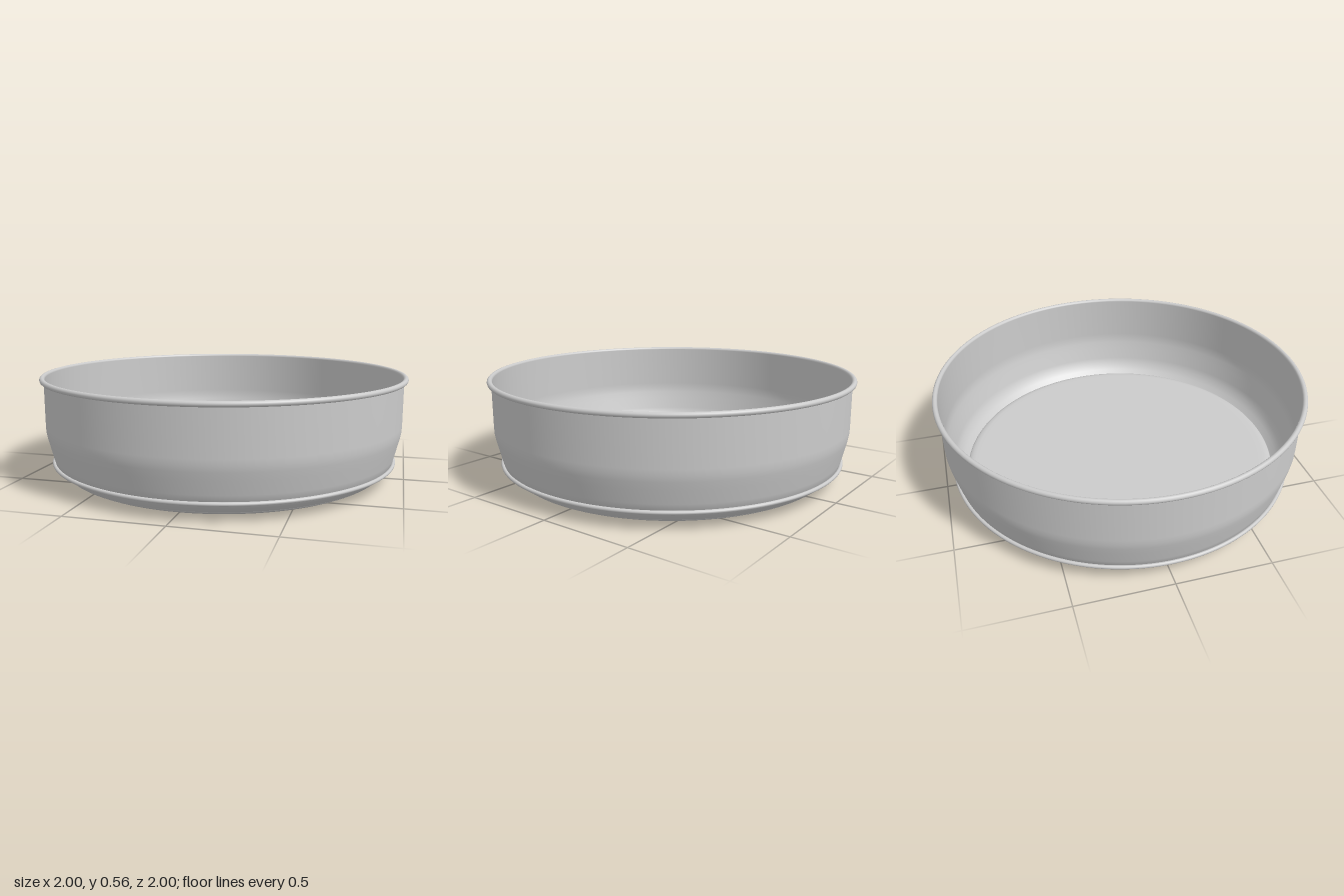
import * as THREE from 'three';

const SEGMENTS = 128;
const material = new THREE.MeshStandardMaterial({ color: 0xcccccc, side: THREE.DoubleSide });

// Surface of revolution from [radius, height] pairs
function lathe(name, profile) {
  const points = profile.map(([r, y]) => new THREE.Vector2(r, y));
  const mesh = new THREE.Mesh(new THREE.LatheGeometry(points, SEGMENTS), material);
  mesh.name = name;
  return mesh;
}

// Horizontal round bead
function bead(name, radius, tube, y) {
  const geometry = new THREE.TorusGeometry(radius, tube, 12, SEGMENTS);
  geometry.rotateX(-Math.PI / 2);
  const mesh = new THREE.Mesh(geometry, material);
  mesh.name = name;
  mesh.position.y = y;
  return mesh;
}

export function createModel() {
  const group = new THREE.Group();
  group.name = 'roundPan';

  // Flat base plate with rounded edges
  group.add(lathe('basePlate', [
    [0, 0], [0.78, 0], [0.81, 0.003], [0.84, 0.01], [0.865, 0.022], [0.88, 0.035],
    [0.872, 0.045], [0.855, 0.052], [0.835, 0.055], [0.8, 0.055], [0, 0.055],
  ]));

  // Thin wall: steep foot, flaring lower band, upright upper band
  const outer = [
    [0.88, 0.032], [0.91, 0.06], [0.935, 0.095], [0.945, 0.13], [0.962, 0.2],
    [0.972, 0.24], [0.977, 0.27], [0.978, 0.3], [0.978, 0.54],
  ];
  const inner = outer.map(([r, y]) => [r - 0.006, y + 0.002]).reverse();
  group.add(lathe('outerWall', outer));
  group.add(lathe('innerWall', inner));

  // Rolled rim and the lower seam bead
  group.add(bead('rim', 0.986, 0.014, 0.541));
  group.add(bead('seamBead', 0.942, 0.01, 0.09));

  return group;
}
